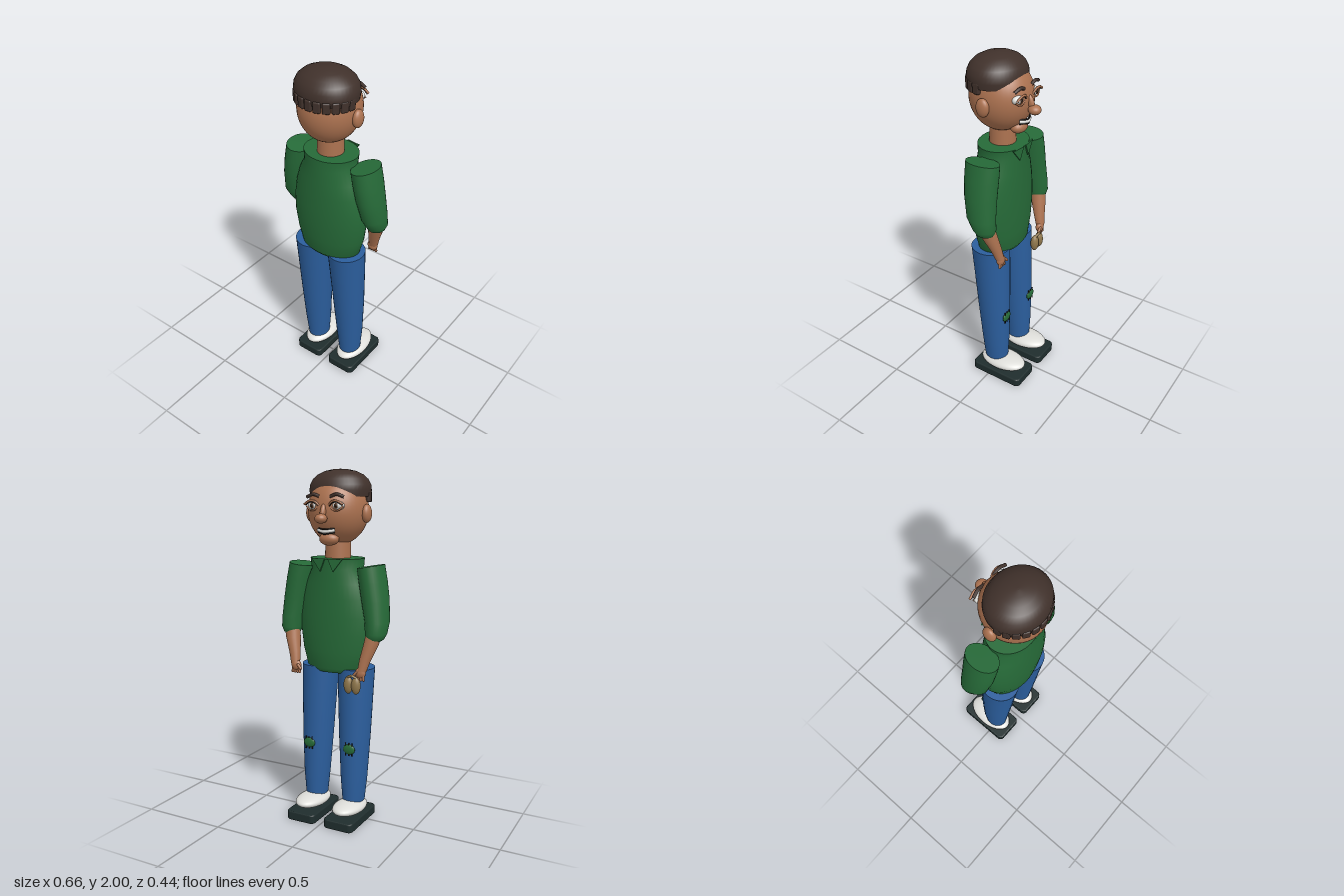
import * as THREE from 'three';
import { RoundedBoxGeometry } from 'three/addons/geometries/RoundedBoxGeometry.js';

const mat = (name, color, side = THREE.FrontSide) => {
  const m = new THREE.MeshStandardMaterial({ color, side });
  m.name = name;
  return m;
};

// Closed body from elliptical rings, bottom to top: [y, cx, cz, rx, rz, tilt]
function loft(sections, n = 32) {
  const pos = [], idx = [];
  const strip = (rings) => {
    const base = pos.length / 3;
    for (const [y, cx, cz, rx, rz, tilt = 0] of rings)
      for (let i = 0; i < n; i++) {
        const a = (i / n) * Math.PI * 2, dx = rx * Math.cos(a);
        pos.push(cx + dx, y + tilt * dx, cz + rz * Math.sin(a));
      }
    for (let j = 0; j < rings.length - 1; j++)
      for (let i = 0; i < n; i++) {
        const k = (i + 1) % n, a = base + j * n, b = a + n;
        idx.push(a + i, b + i, a + k, a + k, b + i, b + k);
      }
  };
  const centre = ([y, cx, cz]) => [y, cx, cz, 0, 0];
  const first = sections[0], last = sections[sections.length - 1];
  strip([centre(first), first]);
  strip(sections);
  strip([last, centre(last)]);
  const g = new THREE.BufferGeometry();
  g.setAttribute('position', new THREE.Float32BufferAttribute(pos, 3));
  g.setIndex(idx);
  g.computeVertexNormals();
  return g;
}

export function createModel() {
  const model = new THREE.Group();
  const skin = mat('skin', 0xac7250), hair = mat('hair', 0x40312b);
  const shirt = mat('shirt green', 0x266a38, THREE.DoubleSide), denim = mat('denim', 0x2b5e9d);
  const white = mat('white', 0xdededa), rubber = mat('sole', 0x1f2d2d);
  const tan = mat('tan', 0x8f774c), dark = mat('dark', 0x17130f), iris = mat('iris', 0x4a2a16);

  const add = (name, geo, m, x = 0, y = 0, z = 0) => {
    const mesh = new THREE.Mesh(geo, m);
    mesh.name = name;
    mesh.position.set(x, y, z);
    model.add(mesh);
    return mesh;
  };
  const ball = (name, m, x, y, z, rx, ry, rz, seg = 24) => {
    const g = new THREE.SphereGeometry(1, seg, Math.round(seg * 0.7));
    g.scale(rx, ry, rz);
    return add(name, g, m, x, y, z);
  };
  const tube = (name, m, pts, r, closed = false) => add(name, new THREE.TubeGeometry(
    new THREE.CatmullRomCurve3(pts.map((p) => new THREE.Vector3(...p)), closed), 20, r, 8, closed), m);

  // Head and neck
  ball('head', skin, 0, 1.78, 0.03, 0.167, 0.19, 0.175, 40);
  add('neck', new THREE.CylinderGeometry(0.07, 0.074, 0.16, 28), skin, 0, 1.55, 0.025);
  ball('chin', skin, 0, 1.627, -0.078, 0.058, 0.036, 0.042);
  ball('nose', skin, 0, 1.738, -0.17, 0.034, 0.026, 0.035);
  const bridge = ball('noseBridge', skin, 0, 1.775, -0.145, 0.016, 0.045, 0.02);
  bridge.rotation.x = 0.35;

  // Hair cap with ragged locks at the back
  add('hair', loft([
    [1.852, 0, 0.053, 0.172, 0.152], [1.885, 0, 0.053, 0.176, 0.155], [1.915, 0, 0.053, 0.173, 0.152],
    [1.945, 0, 0.053, 0.157, 0.138], [1.97, 0, 0.053, 0.128, 0.113], [1.988, 0, 0.053, 0.088, 0.078],
    [1.997, 0, 0.053, 0.045, 0.04], [2, 0, 0.053, 0.005, 0.005],
  ], 44), hair);
  for (let i = -5; i <= 5; i++) {
    const a = i * 0.29;
    const lock = add('hairLock', new RoundedBoxGeometry(0.04, 0.06, 0.024, 2, 0.008), hair,
      0.164 * Math.sin(a), 1.852, 0.053 + 0.15 * Math.cos(a));
    lock.rotation.y = a;
  }

  // Mouth
  const lip = (y, bow) => [[-0.05, y + 0.004, -0.108], [-0.025, y, -0.125], [0, y - bow, -0.133], [0.025, y, -0.125], [0.05, y + 0.004, -0.108]];
  tube('teeth', white, lip(1.671, 0.003), 0.009);
  tube('upperLipLine', dark, lip(1.682, 0.002), 0.004);
  tube('lowerLipLine', dark, lip(1.659, 0.004), 0.004);

  // Torso and collar
  add('shirtBody', loft([
    [0.88, 0, 0.02, 0.15, 0.1], [0.905, 0, 0.022, 0.185, 0.118], [1.0, 0, 0.024, 0.212, 0.127],
    [1.1, 0, 0.026, 0.226, 0.133], [1.2, 0, 0.026, 0.228, 0.134], [1.3, 0, 0.025, 0.212, 0.133],
    [1.38, 0, 0.024, 0.188, 0.131], [1.46, 0, 0.022, 0.15, 0.129], [1.52, 0, 0.02, 0.157, 0.13],
  ], 40), shirt);

  for (const s of [1, -1]) {
    ball('ear', skin, s * 0.173, 1.762, 0.03, 0.026, 0.05, 0.038);

    // Eye, lids and brow
    ball('eye', white, s * 0.073, 1.805, -0.112, 0.036, 0.024, 0.028);
    ball('iris', iris, s * 0.073, 1.805, -0.134, 0.014, 0.015, 0.008, 16);
    ball('pupil', dark, s * 0.073, 1.805, -0.139, 0.007, 0.008, 0.005, 12);
    tube('upperEyelid', skin, [[s * 0.03, 1.806, -0.138], [s * 0.05, 1.826, -0.144], [s * 0.08, 1.831, -0.146], [s * 0.118, 1.812, -0.14]], 0.006);
    tube('lowerEyelid', skin, [[s * 0.035, 1.8, -0.134], [s * 0.06, 1.782, -0.136], [s * 0.085, 1.782, -0.134], [s * 0.112, 1.802, -0.126]], 0.005);
    tube('eyelash', dark, [[s * 0.035, 1.803, -0.139], [s * 0.055, 1.82, -0.145], [s * 0.08, 1.824, -0.145], [s * 0.11, 1.808, -0.138]], 0.003);
    tube('eyebrow', hair, [[s * 0.033, 1.852, -0.126], [s * 0.07, 1.864, -0.127], [s * 0.113, 1.85, -0.119]], 0.009);

    // Collar point
    const flap = new THREE.Shape([[0.01, 0.04], [0.095, 0.04], [0.04, -0.03]].map(([x, y]) => new THREE.Vector2(s * x, y)));
    const collar = add('collarPoint', new THREE.ExtrudeGeometry(flap, { depth: 0.008, bevelEnabled: false }), shirt, 0, 1.482, -0.118);
    collar.rotation.y = -s * 0.12;

    // Sleeve, forearm and hand
    add('sleeve', loft([
      [1.078, s * 0.262, -0.042, 0.03, 0.035], [1.09, s * 0.264, -0.04, 0.048, 0.052],
      [1.12, s * 0.266, -0.034, 0.06, 0.067], [1.18, s * 0.264, -0.014, 0.065, 0.084],
      [1.3, s * 0.245, 0, 0.074, 0.093], [1.4, s * 0.228, 0.004, 0.075, 0.098],
      [1.482, s * 0.213, 0.006, 0.071, 0.098, s * 0.16],
    ]), shirt);
    add('forearm', loft([
      [0.915, s * 0.212, -0.096, 0.026, 0.024], [0.98, s * 0.225, -0.08, 0.033, 0.032],
      [1.06, s * 0.248, -0.058, 0.042, 0.043], [1.12, s * 0.26, -0.045, 0.045, 0.045],
    ], 24), skin);
    ball('hand', skin, s * 0.205, 0.905, -0.098, 0.031, 0.032, 0.021);
    for (let i = 0; i < 4; i++) {
      const finger = add('finger', new THREE.CapsuleGeometry(0.0075, 0.026, 4, 10), skin,
        s * (0.183 + i * 0.014), 0.88, -0.104);
      finger.rotation.z = s * (i - 2) * 0.1;
    }
    const thumb = add('thumb', new THREE.CapsuleGeometry(0.008, 0.026, 4, 10), skin, s * 0.178, 0.9, -0.112);
    thumb.rotation.z = -s * 0.7;

    // Trouser leg with stitched knee patch
    add('trouserLeg', loft([
      [0.115, s * 0.122, -0.008, 0.063, 0.073], [0.25, s * 0.122, -0.004, 0.076, 0.083],
      [0.5, s * 0.12, 0.008, 0.09, 0.096], [0.75, s * 0.117, 0.022, 0.1, 0.106],
      [0.905, s * 0.115, 0.032, 0.106, 0.112],
    ]), denim);
    const px = s * 0.13;
    ball('kneePatch', shirt, px, 0.445, -0.086, 0.037, 0.03, 0.012);
    for (const t of [-1, 1])
      for (let i = -1; i <= 1; i++)
        add('stitch', new THREE.BoxGeometry(0.005, 0.02, 0.006), dark, px + i * 0.02, 0.445 + t * 0.028, -0.089);

    // Shoe on a flat sole
    const shoe = ball('shoe', white, s * 0.122, 0.088, -0.057, 0.086, 0.039, 0.148, 32);
    shoe.rotation.x = 0.05;
    const plan = new THREE.Shape();
    const w = 0.085, d = 0.16, r = 0.022;
    plan.absarc(w - r, d - r, r, 0, Math.PI / 2);
    plan.absarc(r - w, d - r, r, Math.PI / 2, Math.PI);
    plan.absarc(r - w, r - d, r, Math.PI, Math.PI * 1.5);
    plan.absarc(w - r, r - d, r, Math.PI * 1.5, Math.PI * 2);
    const soleGeo = new THREE.ExtrudeGeometry(plan, { depth: 0.037, bevelThickness: 0.008, bevelSize: 0.007, bevelSegments: 3, curveSegments: 8 });
    soleGeo.rotateX(-Math.PI / 2);
    add('sole', soleGeo, rubber, s * 0.122, 0.008, -0.055);
  }

  // Two-lobed pouch held in one hand
  for (const x of [-0.182, -0.135]) ball('pouch', tan, x, 0.832, -0.108, 0.027, 0.05, 0.023);
  tube('pouchTie', tan, [[-0.185, 0.875, -0.112], [-0.16, 0.888, -0.12], [-0.13, 0.875, -0.112]], 0.007);

  return model;
}
